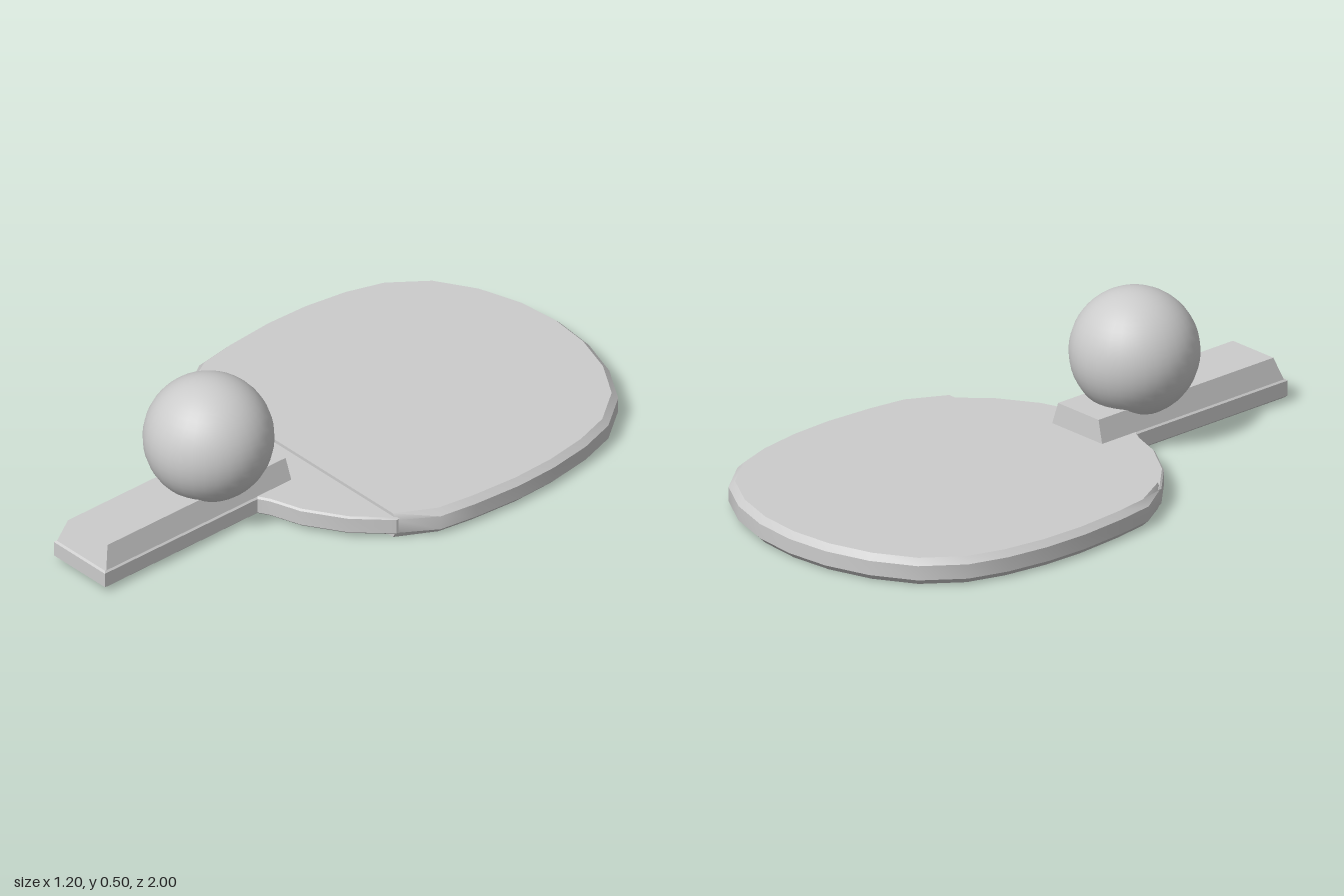
import * as THREE from 'three';
import { toCreasedNormals } from 'three/addons/utils/BufferGeometryUtils.js';

const grey = new THREE.MeshStandardMaterial({ color: 0xcccccc });

function part(name, geometry) {
  const mesh = new THREE.Mesh(geometry, grey);
  mesh.name = name;
  return mesh;
}

// Closed slab from one half of a mirrored outline of [x, z] points, lying between two heights
function slab(half, bottom, top, bevel) {
  const mirrored = half.filter(([x]) => x > 0).map(([x, z]) => [-x, z]).reverse();
  const shape = new THREE.Shape([...half, ...mirrored].map(([x, z]) => new THREE.Vector2(x, z)));
  const geometry = new THREE.ExtrudeGeometry(shape, {
    depth: top - bottom - 2 * bevel,
    bevelEnabled: true, bevelSegments: 1,
    bevelSize: bevel, bevelThickness: bevel, bevelOffset: -bevel,
  });
  return geometry.rotateX(Math.PI / 2).translate(0, top - bevel, 0);
}

export function createModel() {
  const group = new THREE.Group();

  // Rubber-covered face, with a straight upright step at its lower end
  const stepZ = 0.12;
  const rubber = slab([
    [0, -1], [0.15, -0.985], [0.3, -0.937], [0.435, -0.855], [0.53, -0.73], [0.572, -0.6],
    [0.595, -0.45], [0.6, -0.3], [0.587, -0.13], [0.567, 0], [0.49, stepZ],
  ], 0, 0.088, 0.02);
  const position = rubber.attributes.position;
  for (let i = 0; i < position.count; i++) {
    if (position.getZ(i) > 0.08) position.setZ(i, stepZ);
  }
  group.add(part('rubberFace', toCreasedNormals(rubber, 0.6)));

  // Bare wood shoulder running into the handle core
  const wood = slab([
    [0.5, 0.06], [0.495, 0.12], [0.39, 0.228], [0.26, 0.31], [0.155, 0.345],
    [0.12, 0.365], [0.12, 1],
  ], 0.015, 0.077, 0.006);
  group.add(part('woodCore', toCreasedNormals(wood, 0.6)));

  // Grip block on top of the handle, narrowing upward and sloped at the butt
  const grip = new THREE.BoxGeometry(0.23, 0.075, 0.77).translate(0, 0.1125, 0.605);
  const corner = grip.attributes.position;
  for (let i = 0; i < corner.count; i++) {
    if (corner.getY(i) < 0.1) continue;
    corner.setX(i, Math.sign(corner.getX(i)) * 0.093);
    corner.setZ(i, corner.getZ(i) > 0.6 ? 0.965 : 0.225);
  }
  group.add(part('grip', toCreasedNormals(grip, 0.2)));

  // Ball resting on the grip
  const ball = part('ball', new THREE.SphereGeometry(0.206, 32, 24));
  ball.position.set(0, 0.289, 0.463);
  group.add(ball);

  return group;
}
